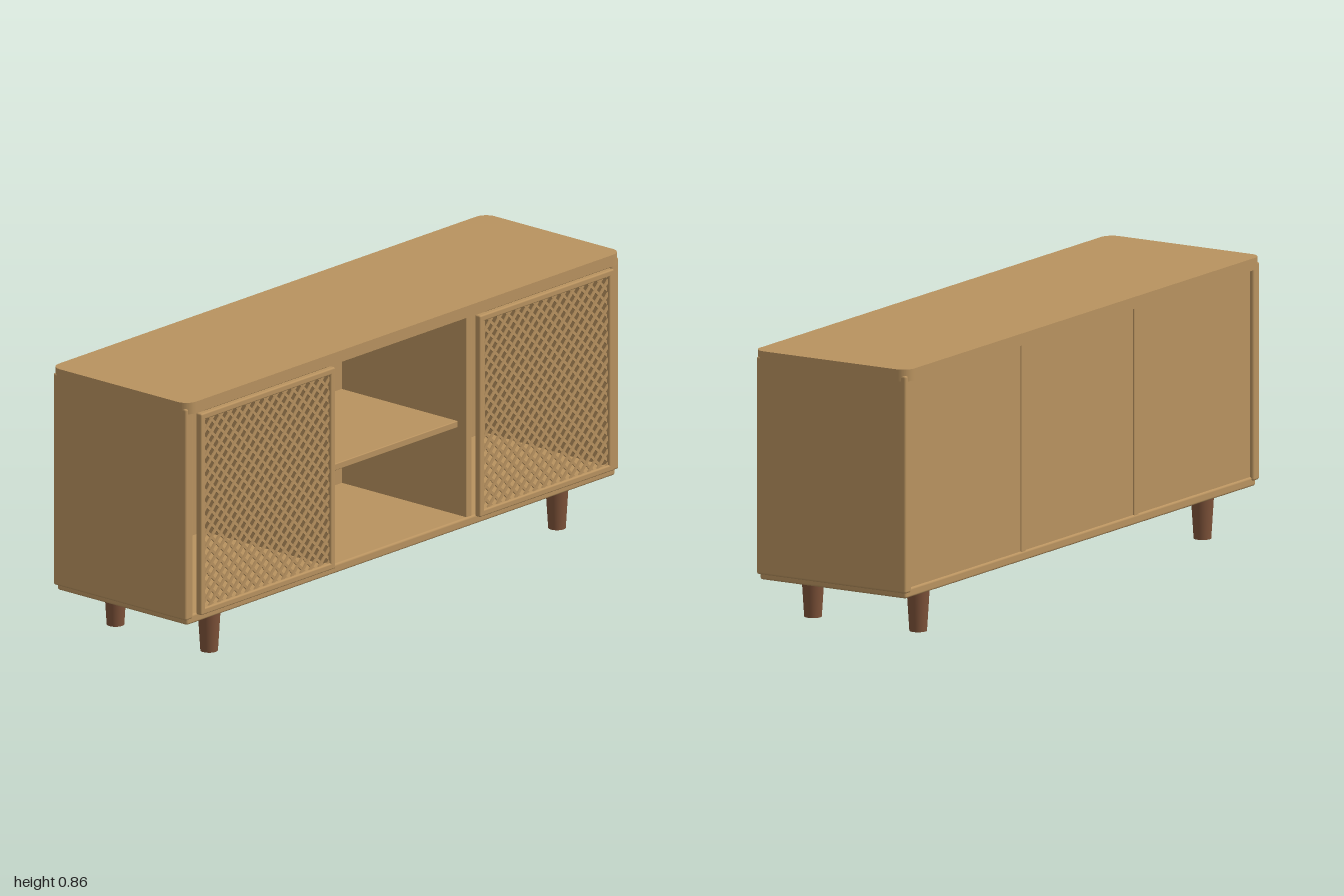
import * as THREE from 'three';
import { RoundedBoxGeometry } from 'three/addons/geometries/RoundedBoxGeometry.js';
import { mergeGeometries } from 'three/addons/utils/BufferGeometryUtils.js';

const wood = new THREE.MeshStandardMaterial({ color: 0xb8925f });
const legWood = new THREE.MeshStandardMaterial({ color: 0x7d5239 });
const dark = new THREE.MeshStandardMaterial({ color: 0x2a323c });

export function createModel() {
  const model = new THREE.Group();

  const add = (name, geometry, material = wood, parent = model) => {
    const mesh = new THREE.Mesh(geometry, material);
    mesh.name = name;
    parent.add(mesh);
    return mesh;
  };

  // Board given by its limits on each axis, with softened edges
  const board = (name, [x0, x1], [y0, y1], [z0, z1], r = 0.005, parent = model) => {
    const w = x1 - x0, h = y1 - y0, d = z1 - z0;
    const geometry = r ? new RoundedBoxGeometry(w, h, d, 3, r) : new THREE.BoxGeometry(w, h, d);
    const mesh = add(name, geometry, wood, parent);
    mesh.position.set((x0 + x1) / 2, (y0 + y1) / 2, (z0 + z1) / 2);
    return mesh;
  };

  // Rectangle outline with rounded corners
  const roundedRect = (w, h, r) => {
    const s = new THREE.Shape(), a = w / 2 - r, b = h / 2 - r;
    s.absarc(a, b, r, 0, Math.PI / 2);
    s.absarc(-a, b, r, Math.PI / 2, Math.PI);
    s.absarc(-a, -b, r, Math.PI, Math.PI * 1.5);
    s.absarc(a, -b, r, Math.PI * 1.5, Math.PI * 2);
    s.closePath();
    return s;
  };

  // Top with rounded corners in plan
  const top = new THREE.ExtrudeGeometry(roundedRect(2, 0.56, 0.04),
    { depth: 0.037, bevelEnabled: false, curveSegments: 8 });
  top.rotateX(-Math.PI / 2);
  add('top', top).position.set(0, 0.82, -0.005);

  // Carcass
  board('bottom', [-0.985, 0.985], [0.14, 0.17], [-0.27, 0.26], 0.007);
  board('shelf', [-0.306, 0.306], [0.45, 0.472], [-0.255, 0.22], 0.003);
  for (const s of [-1, 1]) {
    const span = (a, b) => (s > 0 ? [a, b] : [-b, -a]);
    board('sidePanel', span(0.962, 0.997), [0.158, 0.838], [-0.277, 0.265], 0.007);
    board('divider', span(0.305, 0.33), [0.165, 0.825], [-0.268, 0.255], 0.003);
    board('backPanel', span(0.328, 0.965), [0.165, 0.822], [-0.264, -0.252], 0);
  }
  board('middleBackPanel', [-0.307, 0.307], [0.165, 0.822], [-0.264, -0.252], 0);

  // Dark cable grommet inside the middle bay
  const grommet = add('cableGrommet', new THREE.CylinderGeometry(0.033, 0.033, 0.012, 32), dark);
  grommet.rotation.x = Math.PI / 2;
  grommet.position.set(0, 0.587, -0.249);

  // Door lattice: diagonal slats trimmed to the opening
  const lattice = (w, h) => {
    const parts = [], step = 0.042;
    const a = w / 2, b = h / 2, n = Math.ceil((a + b) / step);
    for (const dir of [1, -1]) {
      for (let i = -n; i <= n; i++) {
        // line y = x + c, mirrored in x for the other direction
        const c = i * step;
        const x0 = Math.max(-a, -b - c), x1 = Math.min(a, b - c);
        if (x1 - x0 < 0.008) continue;
        const slat = new THREE.BoxGeometry((x1 - x0) * Math.SQRT2, 0.009, 0.005);
        slat.rotateZ(dir * Math.PI / 4);
        const mid = (x0 + x1) / 2;
        slat.translate(dir * mid, mid + c, dir * 0.002);
        parts.push(slat);
      }
    }
    return mergeGeometries(parts);
  };

  // Doors, standing proud of the front
  const doorW = 0.618, doorH = 0.647, rail = 0.021, z = [0.265, 0.287];
  for (const s of [-1, 1]) {
    const door = new THREE.Group();
    door.name = s > 0 ? 'leftDoor' : 'rightDoor';
    door.position.set(s * 0.641, 0.4925, 0);
    const a = doorW / 2, b = doorH / 2;
    for (const k of [-1, 1]) {
      const span = (p, q) => (k > 0 ? [p, q] : [-q, -p]);
      board('doorStile', span(a - rail, a), [-b, b], z, 0.005, door);
      board('doorRail', [-a + 0.008, a - 0.008], span(b - rail, b), z, 0.005, door);
    }
    add('doorLattice', lattice(doorW - 2 * rail + 0.008, doorH - 2 * rail + 0.008), wood, door)
      .position.z = 0.276;
    model.add(door);
  }

  // Tapered legs
  for (const x of [-0.8, 0.8]) {
    for (const lz of [0.186, -0.196]) {
      add('leg', new THREE.CylinderGeometry(0.036, 0.027, 0.142, 32), legWood).position.set(x, 0.071, lz);
    }
  }

  return model;
}
